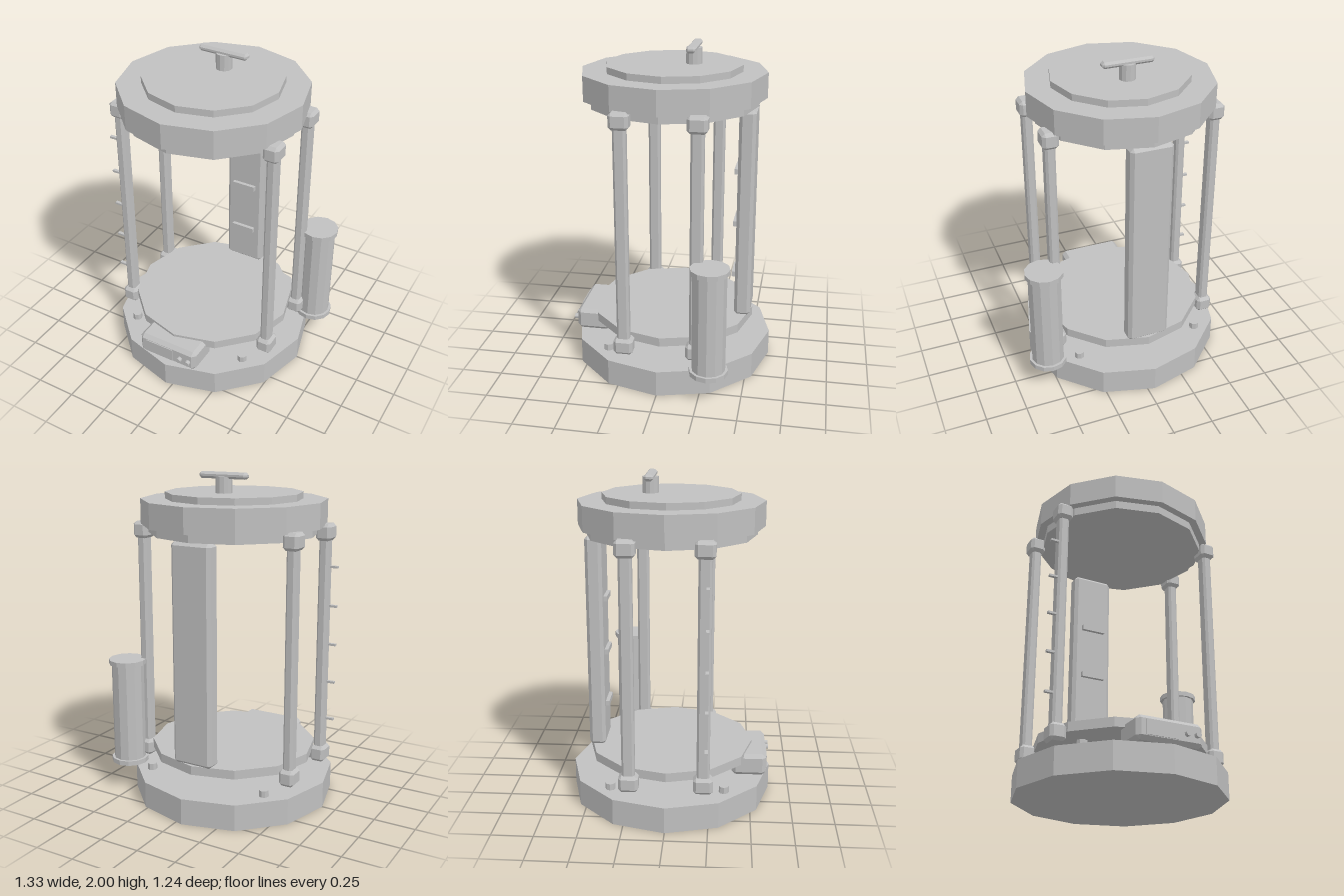
import * as THREE from 'three';
import { ConvexGeometry } from 'three/addons/geometries/ConvexGeometry.js';

export function createModel() {
  const model = new THREE.Group();
  model.name = 'chamberPrinter';
  const grey = new THREE.MeshStandardMaterial({ color: 0xc0c0c0, flatShading: true });
  grey.name = 'grey';
  const CX = -0.043; // x of the main axis

  function add(name, geometry, x, y, z) {
    const mesh = new THREE.Mesh(geometry, grey);
    mesh.name = name;
    mesh.position.set(x, y, z);
    model.add(mesh);
    return mesh;
  }

  // Box with every edge cut at 45 degrees
  function chamferBox(w, h, d, b) {
    const points = [];
    for (const sx of [-1, 1]) for (const sy of [-1, 1]) for (const sz of [-1, 1]) {
      const x = w / 2, y = h / 2, z = d / 2;
      points.push(
        new THREE.Vector3(sx * x, sy * (y - b), sz * (z - b)),
        new THREE.Vector3(sx * (x - b), sy * y, sz * (z - b)),
        new THREE.Vector3(sx * (x - b), sy * (y - b), sz * z));
    }
    return new ConvexGeometry(points);
  }

  // Upright faceted cylinder between two heights
  function drum(name, r, y0, y1, x = CX, z = 0, sides = 12) {
    return add(name, new THREE.CylinderGeometry(r, r, y1 - y0, sides), x, (y0 + y1) / 2, z);
  }

  // Base, bed and lid
  drum('base', 0.622, 0, 0.16);
  drum('bed', 0.51, 0.27, 0.325);
  drum('lidCollar', 0.51, 1.64, 1.69);
  drum('lid', 0.556, 1.69, 1.84);
  drum('lidPlate', 0.41, 1.84, 1.88);

  // Lid handle
  drum('handleStem', 0.048, 1.88, 1.975, CX, -0.12);
  add('handleBar', chamferBox(0.31, 0.038, 0.056, 0.013), CX, 1.981, -0.12);

  // Posts with end brackets, and pegs on the base
  for (const sx of [-1, 1]) for (const sz of [-1, 1]) {
    const x = CX + sx * 0.5, z = sz * 0.218;
    add('post', chamferBox(0.06, 1.4, 0.076, 0.013), x, 0.955, z);
    for (const y of [0.26, 1.65]) {
      add('postBracket', chamferBox(0.096, 0.1, 0.116, 0.018), x, y, z);
    }
    drum('peg', 0.03, 0.16, 0.2, CX + sx * 0.395, sz * 0.34, 8);
  }

  // Marks up the side of one front post
  for (let i = 0; i < 5; i++) {
    add('postMark', new THREE.BoxGeometry(0.055, 0.013, 0.02), -0.593, 0.485 + i * 0.239, 0.235);
  }

  // Back column with raised bars
  add('backColumn', chamferBox(0.258, 1.32, 0.1, 0.02), CX, 0.98, -0.453);
  for (const y of [0.58, 0.917, 1.252]) {
    add('columnBar', new THREE.BoxGeometry(0.156, 0.032, 0.03), CX, y, -0.395);
  }

  // Control box with display and knobs
  add('controlBox', chamferBox(0.4, 0.138, 0.21, 0.023), CX, 0.24, 0.491);
  add('display', new THREE.BoxGeometry(0.19, 0.085, 0.009), -0.096, 0.24, 0.597);
  for (const x of [0.053, 0.113]) {
    const knob = add('knob', new THREE.CylinderGeometry(0.016, 0.016, 0.03, 10), x, 0.237, 0.605);
    knob.rotation.x = Math.PI / 2;
  }

  // Side canister
  drum('canister', 0.1, 0.2, 0.815, 0.546, -0.307);
  drum('canisterFoot', 0.116, 0.17, 0.2, 0.546, -0.307);
  drum('canisterCap', 0.116, 0.815, 0.845, 0.546, -0.307);

  return model;
}
